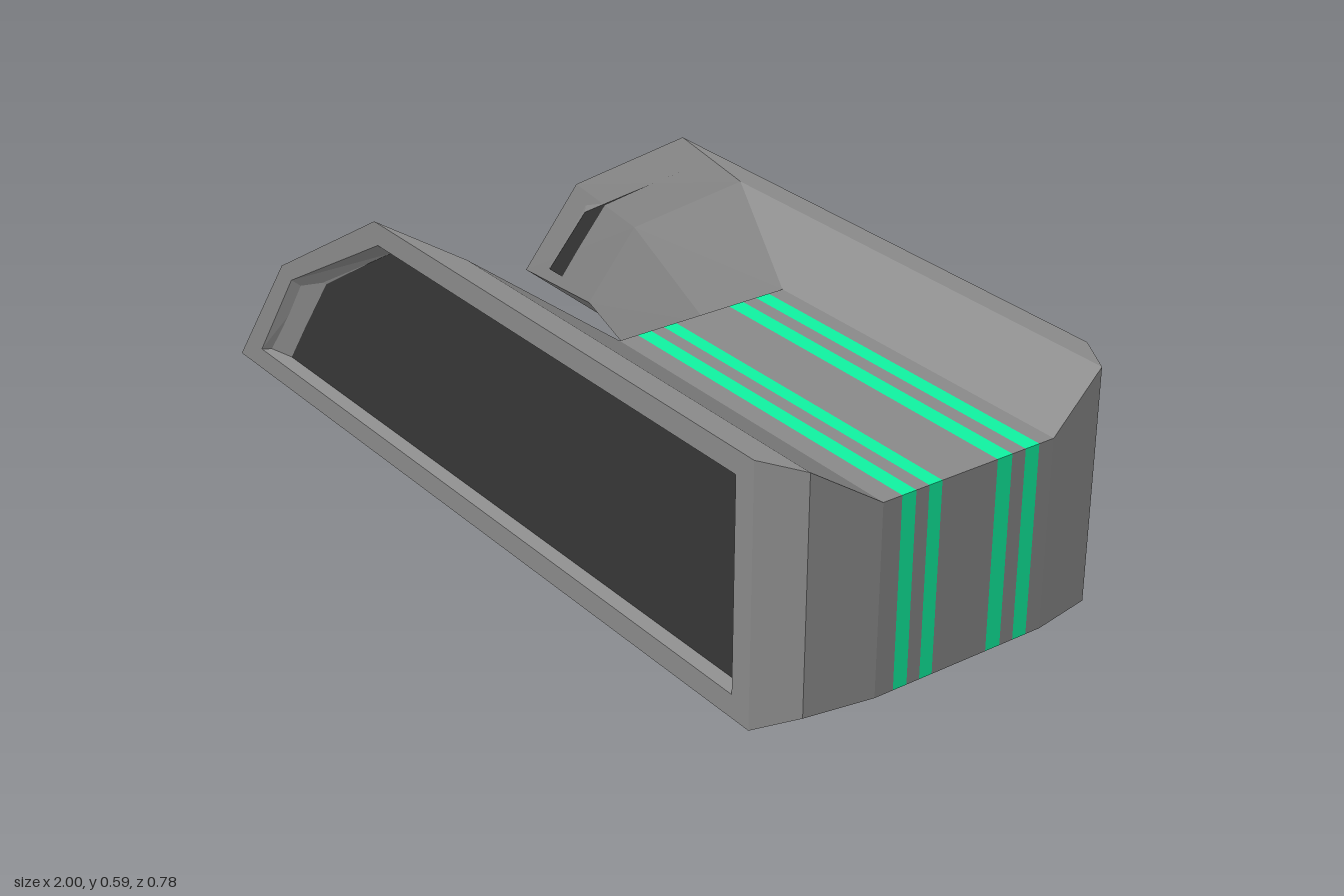
import * as THREE from 'three';

const paint = (color) => new THREE.MeshStandardMaterial({ color, flatShading: true, side: THREE.DoubleSide });
const V = (x, y, z) => new THREE.Vector3(x, y, z);

// Collects flat convex polygons, each turned to face away from a point inside the solid
class Panels {
  constructor() { this.pos = []; }
  add(points, inside) {
    for (let i = 1; i < points.length - 1; i++) {
      const [a, b, c] = [points[0], points[i], points[i + 1]];
      const n = b.clone().sub(a).cross(c.clone().sub(a));
      const mid = a.clone().add(b).add(c).divideScalar(3);
      const tri = n.dot(mid.sub(inside)) < 0 ? [a, c, b] : [a, b, c];
      tri.forEach((p) => this.pos.push(p.x, p.y, p.z));
    }
  }
  // Joins two closed rings with the same number of corners
  loft(r1, r2, inside) {
    r1.forEach((p, i) => {
      const j = (i + 1) % r1.length;
      this.add([p, r1[j], r2[j], r2[i]], inside);
    });
  }
  // As loft, but the walls face inwards, as in a recess
  well(r1, r2) {
    const centre = r1.concat(r2).reduce((s, p) => s.add(p), V(0, 0, 0)).divideScalar(r1.length * 2);
    r1.forEach((p, i) => {
      const j = (i + 1) % r1.length;
      const mid = p.clone().add(r1[j]).add(r2[j]).add(r2[i]).divideScalar(4);
      this.add([p, r1[j], r2[j], r2[i]], mid.multiplyScalar(2).sub(centre));
    });
  }
  mesh(name, material) {
    const g = new THREE.BufferGeometry();
    g.setAttribute('position', new THREE.Float32BufferAttribute(this.pos, 3));
    g.computeVertexNormals();
    const m = new THREE.Mesh(g, material);
    m.name = name;
    return m;
  }
}

export function createModel() {
  const model = new THREE.Group();
  const bodyMat = paint(0x888888), darkMat = paint(0x363636), stripeMat = paint(0x10f0a0);
  const glassMat = paint(0xcccccc), wheelMat = paint(0x707070), hubMat = paint(0x161616);

  // Side profiles from the outer face to the middle hull: lower nose, knee, roof start, rear top, rear bottom
  const outer = [[-1, 0.04], [-0.78, 0.34], [-0.37, 0.59], [0.88, 0.59], [0.88, 0.04]];
  const middle = [[-0.66, 0.095], [-0.48, 0.35], [-0.1, 0.59], [0.97, 0.59], [0.97, 0.095]];
  const inner = [[-0.17, 0.1], [-0.03, 0.33], [0.22, 0.5], [1, 0.5], [1, 0.1]];
  const opening = [[-0.9, 0.09], [-0.74, 0.32], [-0.36, 0.54], [0.83, 0.54], [0.83, 0.09]];
  const panel = [[-0.86, 0.1], [-0.71, 0.3], [-0.35, 0.52], [0.82, 0.52], [0.82, 0.1]];

  // Side pods with recessed dark panels
  for (const s of [1, -1]) {
    const ring = (profile, z) => profile.map(([x, y]) => V(x, y, z * s));
    const inside = V(0.6, 0.3, 0.2 * s);
    const shell = new Panels(), inset = new Panels();
    const rim = ring(outer, 0.39), mid = ring(middle, 0.34);
    const hole = ring(opening, 0.39), back = ring(panel, 0.365);
    shell.loft(rim, mid, inside);
    // The rear edge of the last step is closed by the middle hull
    shell.loft(mid, ring(inner, 0.2), inside);
    shell.loft(rim, hole, inside);
    shell.well(hole, back);
    inset.add(back, inside);
    const pod = new THREE.Group();
    pod.name = s > 0 ? 'leftPod' : 'rightPod';
    pod.add(shell.mesh('podShell', bodyMat), inset.mesh('podPanel', darkMat));
    model.add(pod);
  }

  // Middle hull, cut along its length into body and stripe bands
  const hull = new Panels(), stripes = new Panels(), glass = new Panels(), bay = new Panels();
  const core = V(0.4, 0.3, 0);
  const cuts = [-0.2, -0.165, -0.132, -0.1, -0.065, 0.065, 0.095, 0.125, 0.157, 0.2];
  const frameLow = [0, 0.35], frameTop = [0.2, 0.486], shrink = 0.8;
  for (let i = 0; i < cuts.length - 1; i++) {
    const target = i % 2 ? stripes : hull;
    const band = ([x1, y1], [x2, y2], k = 1) => {
      const [a, b] = [cuts[i], cuts[i + 1]];
      target.add([V(x1, y1, a), V(x1, y1, b), V(x2, y2, b * k), V(x2, y2, a * k)], core);
    };
    band(inner[0], inner[1]);
    band(inner[1], frameLow, shrink);
    band(inner[2], frameTop, shrink);
    band(inner[2], inner[3]);
    band(inner[3], inner[4]);
  }

  // Windscreen: side frames, recess and pane
  const w = 0.2 * shrink;
  for (const s of [1, -1]) {
    hull.add([V(...inner[1], 0.2 * s), V(...inner[2], 0.2 * s), V(...frameTop, w * s), V(...frameLow, w * s)], core);
  }
  const frame = [V(...frameLow, w), V(...frameTop, w), V(...frameTop, -w), V(...frameLow, -w)];
  const pane = frame.map((p) => V(p.x + 0.035, p.y - 0.05, p.z));
  hull.well(frame, pane);
  glass.add(pane, V(0.4, 0.1, 0));

  // Floor with two wheel bays
  const rect = (x1, x2, z1, z2, y) => [V(x1, y, z1), V(x2, y, z1), V(x2, y, z2), V(x1, y, z2)];
  for (const [x1, x2] of [[-0.17, -0.13], [0.14, 0.18], [0.95, 1]]) hull.add(rect(x1, x2, -0.16, 0.16, 0.1), core);
  for (const s of [1, -1]) hull.add(rect(-0.17, 1, 0.16 * s, 0.2 * s, 0.1), core);
  for (const [x1, x2] of [[-0.13, 0.14], [0.18, 0.95]]) {
    const top = rect(x1, x2, -0.16, 0.16, 0.13);
    hull.well(rect(x1, x2, -0.16, 0.16, 0.1), top);
    bay.add(top, core);
  }
  model.add(hull.mesh('middleHull', bodyMat), stripes.mesh('stripes', stripeMat));
  model.add(glass.mesh('windscreen', glassMat), bay.mesh('wheelBays', darkMat));

  // Wide rollers with dark hubs
  for (const x of [0.02, 0.38, 0.84]) {
    const wheel = new THREE.Group();
    wheel.name = 'wheel';
    for (const [name, r, length, mat] of [['roller', 0.095, 0.2, wheelMat], ['hub', 0.071, 0.232, hubMat]]) {
      const g = new THREE.CylinderGeometry(r, r, length, 32).rotateX(Math.PI / 2);
      const m = new THREE.Mesh(g, mat);
      m.name = name;
      wheel.add(m);
    }
    wheel.position.set(x, 0.095, 0);
    model.add(wheel);
  }
  return model;
}
